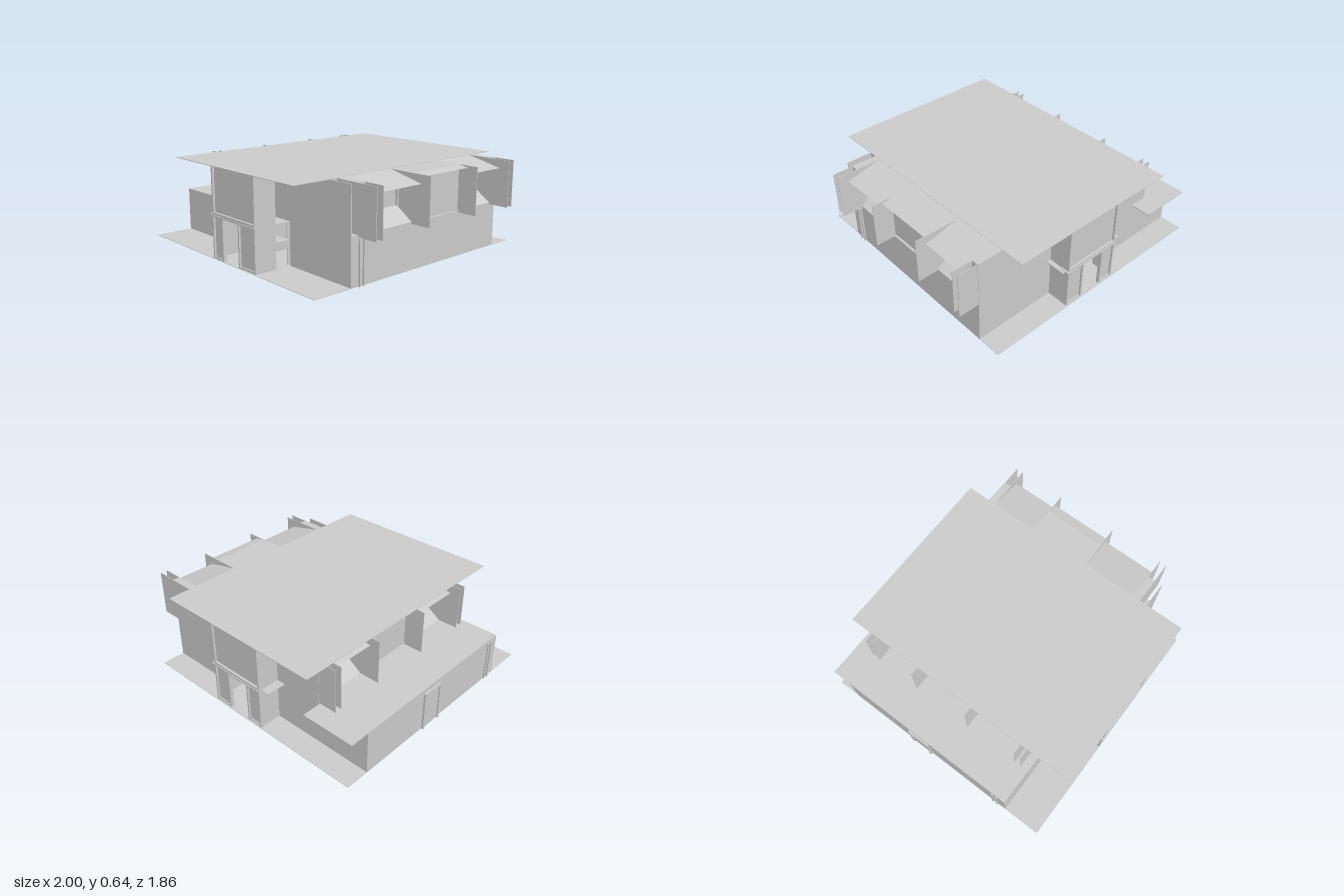
import * as THREE from 'three';

const mat = new THREE.MeshStandardMaterial({ color: 0xcccccc, flatShading: true, side: THREE.DoubleSide });
const T = 0.006; // thickness of sheet-like walls

// Box given by its limits on each axis
function slab(parent, name, x0, x1, y0, y1, z0, z1) {
  const m = new THREE.Mesh(new THREE.BoxGeometry(x1 - x0, y1 - y0, z1 - z0), mat);
  m.position.set((x0 + x1) / 2, (y0 + y1) / 2, (z0 + z1) / 2);
  m.name = name;
  parent.add(m);
  return m;
}

// Open sheet: an x/y profile swept along z
function sheet(parent, name, profile, z0, z1) {
  const pos = [], idx = [];
  profile.forEach(([x, y], i) => {
    pos.push(x, y, z0, x, y, z1);
    if (i) { const a = 2 * i - 2; idx.push(a, a + 1, a + 2, a + 1, a + 3, a + 2); }
  });
  let g = new THREE.BufferGeometry();
  g.setAttribute('position', new THREE.Float32BufferAttribute(pos, 3));
  g.setIndex(idx);
  g = g.toNonIndexed();
  g.computeVertexNormals();
  const m = new THREE.Mesh(g, mat);
  m.name = name;
  parent.add(m);
}

// Upper-storey bays with dividing fins; map places x for either side of the house
function bays(name, map) {
  const g = new THREE.Group();
  g.name = name;
  const box = (n, a, b, ...rest) => slab(g, n, Math.min(map(a), map(b)), Math.max(map(a), map(b)), ...rest);
  const prof = pts => pts.map(([x, y]) => [map(x), y]);
  for (const z of [0.578, 0.525, 0.113, -0.347, -0.7, -0.75])
    box('fin', 0.66, 1.0, 0.31, 0.64, z - 0.002, z + 0.002);
  // Narrow closed piers between paired fins
  for (const [a, b] of [[0.525, 0.578], [-0.75, -0.7]]) {
    sheet(g, 'pier', prof([[0.66, 0.64], [0.85, 0.64], [0.85, 0.32]]), a, b);
    box('pierFoot', 0.83, 0.862, 0.31, 0.322, a, b);
  }
  // Side bays: sloped canopy, window wall and sloped sill
  for (const [a, b] of [[0.113, 0.525], [-0.7, -0.347]]) {
    sheet(g, 'canopy', prof([[0.66, 0.64], [0.925, 0.58]]), a, b);
    sheet(g, 'windowWallAndSill', prof([[0.72, 0.626], [0.72, 0.41], [0.85, 0.323]]), a, b);
    for (const z of [a, b - 0.015]) box('windowJamb', 0.72, 0.735, 0.41, 0.61, z, z + 0.015);
  }
  // Centre bay
  sheet(g, 'centreBay', prof([[0.66, 0.64], [0.85, 0.64], [0.85, 0.32]]), -0.347, 0.113);
  sheet(g, 'centreCanopy', prof([[0.85, 0.64], [0.925, 0.625]]), -0.347, 0.113);
  box('centreSill', 0.85, 0.866, 0.31, 0.325, -0.335, 0.1);
  return g;
}

// Entrance block facing +z, starting at wall plane zw
function entrance(name, zw, x0, x1, sideStart, zf = 0.92) {
  const g = new THREE.Group();
  g.name = name;
  slab(g, 'sideWall', x0, x0 + T, 0, 0.64, zw, zf);
  slab(g, 'sideWall', x1 - T, x1, 0, 0.64, sideStart, zf);
  slab(g, 'upperPanel', x0, x1, 0.32, 0.64, 0.895, 0.905);
  for (const x of [x0, x1 - 0.015]) slab(g, 'panelFrame', x, x + 0.015, 0.3, 0.64, 0.9, zf);
  slab(g, 'doorCanopy', x0 - 0.015, x1, 0.3, 0.31, 0.86, 0.928);
  slab(g, 'doorBeam', x0, x1, 0.31, 0.325, 0.88, 0.922);
  // Framed glazing either side of the open doorway
  for (const [a, b] of [[x0, -0.09], [0.085, x1]]) {
    slab(g, 'glazing', a, b, 0, 0.3, 0.9, 0.906);
    for (const x of [a, b - 0.012]) slab(g, 'doorPost', x, x + 0.012, 0, 0.3, 0.895, zf);
    slab(g, 'bottomRail', a, b, 0, 0.015, 0.9, 0.915);
  }
  return g;
}

export function createModel() {
  const house = new THREE.Group();
  house.name = 'house';

  slab(house, 'ground', -0.985, 0.85, 0, 0.003, -0.927, 0.923);
  slab(house, 'roof', -0.655, 0.66, 0.638, 0.642, -0.927, 0.923);

  // Lower storey side walls and flat roofs
  slab(house, 'rightWall', 0.85 - T, 0.85, 0, 0.32, -0.755, 0.64);
  slab(house, 'leftWall', -0.985, -0.985 + T, 0, 0.32, -0.755, 0.64);
  slab(house, 'annexRoof', -0.985, -0.38, 0.316, 0.322, -0.755, 0.64);
  slab(house, 'annexOverhang', -0.985, -0.59, 0.316, 0.322, -0.9, -0.755);
  slab(house, 'rightLedge', 0.6, 0.85, 0.316, 0.322, -0.755, 0.64);

  // Front and back walls, open at the entrances
  for (const [z, l, r, name] of [[0.64, -0.275, 0.27, 'frontWall'], [-0.755 + T, -0.21, 0.235, 'backWall']]) {
    slab(house, name, -0.985, l, 0, 0.32, z - T, z);
    slab(house, name, -0.58, l, 0.32, 0.64, z - T, z);
    slab(house, name, r, 0.85, 0, 0.64, z - T, z);
    slab(house, name + 'Lintel', l, r, 0.3, 0.64, z - T, z);
  }

  // Inner corridor walls, ceiling and a counter by the front opening
  slab(house, 'corridorWall', -0.275, -0.27, 0, 0.32, -0.75, 0.64);
  slab(house, 'corridorWall', 0.235, 0.24, 0, 0.32, -0.75, 0.64);
  slab(house, 'ceiling', -0.275, 0.27, 0.3, 0.306, -0.9, 0.9);
  slab(house, 'counter', 0.12, 0.26, 0.12, 0.18, 0.64, 0.755);
  // Inner walls below the roof
  slab(house, 'upperRightWall', 0.655, 0.66, 0.32, 0.64, -0.755, 0.64);
  slab(house, 'upperLeftWall', -0.385, -0.38, 0.32, 0.64, -0.755, 0.64);

  // Entrances
  house.add(entrance('frontEntrance', 0.64, -0.21, 0.27, 0.755));
  const back = entrance('backEntrance', 0.755, -0.235, 0.21, 0.755);
  back.rotation.y = Math.PI;
  house.add(back);

  // Upper bays on both sides
  house.add(bays('rightBays', x => x));
  house.add(bays('leftBays', x => 0.28 - x));

  // Left side door with frame
  for (const z of [-0.205, -0.045]) slab(house, 'sideDoorPost', -1.0, -0.985, 0, 0.29, z, z + 0.015);
  slab(house, 'sideDoorHead', -1.0, -0.985, 0.275, 0.29, -0.205, -0.03);
  slab(house, 'sideDoor', -0.99, -0.985, 0, 0.28, -0.2, -0.035);

  // Slim corner pilasters
  for (const z of [0.53, 0.565]) {
    slab(house, 'pilaster', 0.85, 0.862, 0, 0.3, z, z + 0.012);
    slab(house, 'pilaster', -0.995, -0.985, 0, 0.3, z, z + 0.012);
  }
  return house;
}
